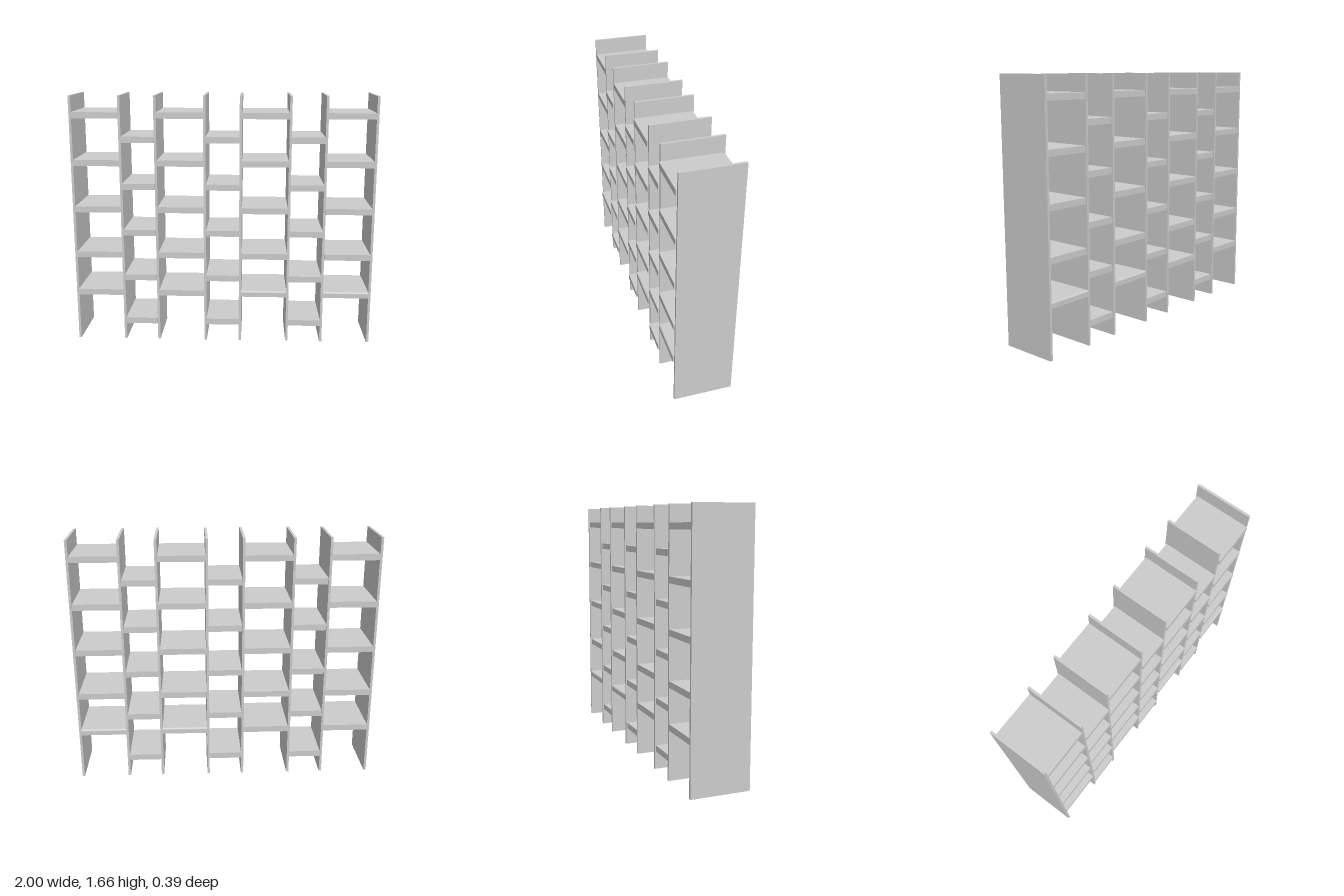
import * as THREE from 'three';

const HEIGHT = 1.665, PANEL = 0.016, SHELF = 0.04;
const BACK = -0.195, FRONT = 0.195, INSET = 0.008;

export function createModel() {
  const model = new THREE.Group();
  const material = new THREE.MeshStandardMaterial({ color: 0xcccccc });

  function add(geometry, name, x, y, z) {
    const mesh = new THREE.Mesh(geometry, material);
    mesh.name = name;
    mesh.position.set(x, y, z);
    model.add(mesh);
  }

  function addBox(name, x, y, width, height, back, front) {
    add(new THREE.BoxGeometry(width, height, front - back), name, x, y, (back + front) / 2);
  }

  // Shelf with softened upper long edges, extruded along its width
  function addRoundedShelf(name, x, y, width) {
    const d = (FRONT - BACK) / 2, h = SHELF / 2, r = 0.012;
    const section = new THREE.Shape();
    section.moveTo(-d, -h);
    section.lineTo(d, -h);
    section.lineTo(d, h - r);
    section.absarc(d - r, h - r, r, 0, Math.PI / 2);
    section.absarc(-d + r, h - r, r, Math.PI / 2, Math.PI);
    section.closePath();
    const geometry = new THREE.ExtrudeGeometry(section, { depth: width, bevelEnabled: false, curveSegments: 6 });
    geometry.translate(0, 0, -width / 2).rotateY(Math.PI / 2);
    add(geometry, name, x, y, 0);
  }

  // Upright panels, mirrored about the centre
  const half = [0.118, 0.439, 0.671, 0.991];
  const uprights = [...half.map(x => -x).reverse(), ...half];
  uprights.forEach(x => addBox('uprightPanel', x, HEIGHT / 2, PANEL, HEIGHT, BACK, FRONT - INSET));

  // Wide and narrow bays alternate, with staggered shelf heights
  const wideHeights = [0.338, 0.602, 0.914, 1.226, 1.538];
  const narrowHeights = [0.135, 0.446, 0.758, 1.07, 1.382];

  for (let bay = 0; bay < uprights.length - 1; bay++) {
    const x = (uprights[bay] + uprights[bay + 1]) / 2;
    const width = uprights[bay + 1] - uprights[bay] - PANEL;
    const wide = bay % 2 === 0;
    (wide ? wideHeights : narrowHeights).forEach((y, level) => {
      if (!wide) addBox('narrowShelf', x, y, width, SHELF, BACK + INSET, FRONT);
      else if (level === 0 && x > 0) addRoundedShelf('bottomShelf', x, y, width);
      else if (level === 0) addBox('bottomShelf', x, y, width, SHELF, BACK, FRONT);
      else if (x < 0) addBox('wideShelf', x, y, width, SHELF, BACK, FRONT - INSET);
      else addBox('wideShelf', x, y, width, SHELF, BACK + INSET, FRONT);
    });
  }
  return model;
}
